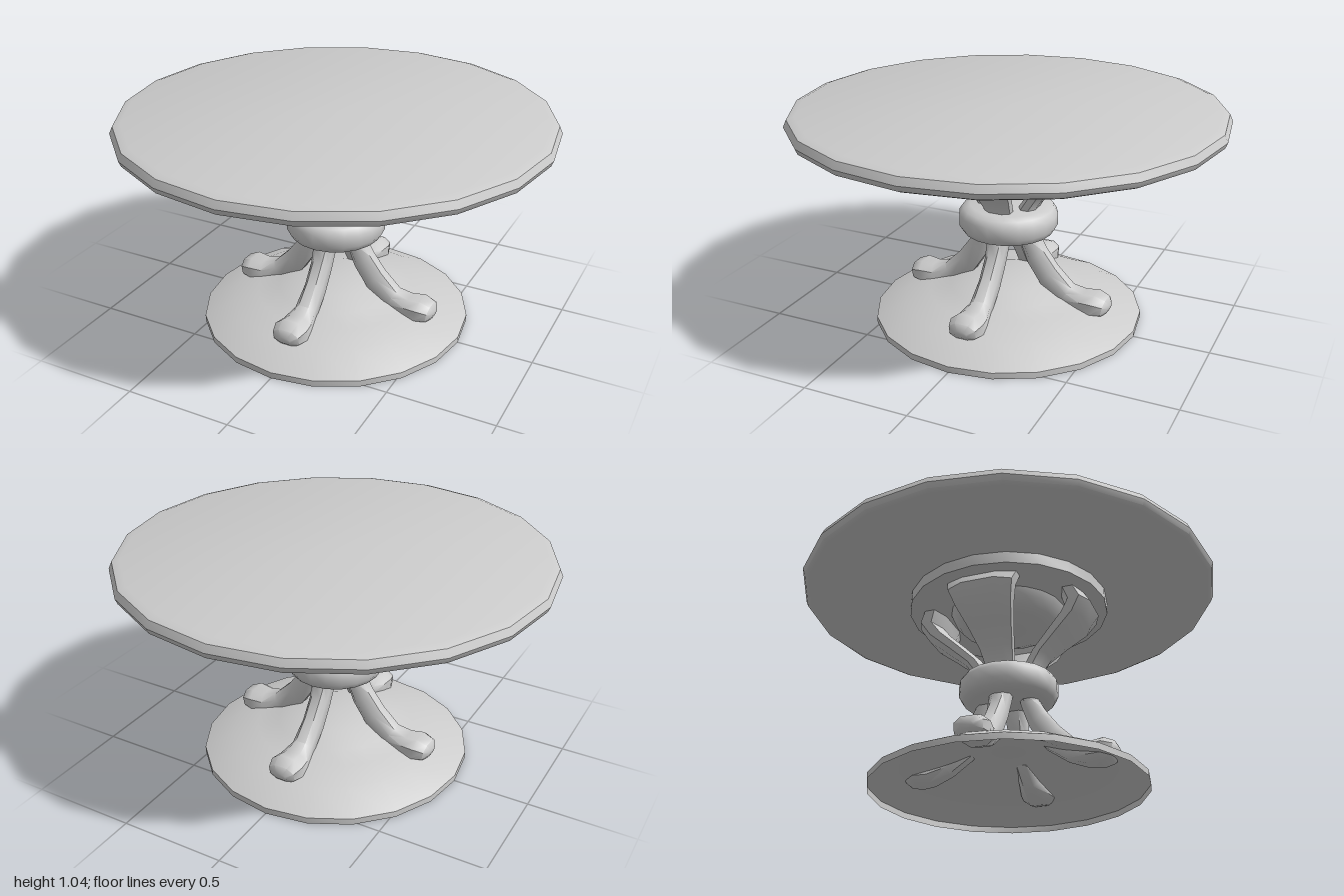
import * as THREE from 'three';
import { toCreasedNormals } from 'three/addons/utils/BufferGeometryUtils.js';

const material = new THREE.MeshStandardMaterial({ color: 0xcccccc });
const openMaterial = new THREE.MeshStandardMaterial({ color: 0xcccccc, side: THREE.DoubleSide });

// Turned part: profile of [radius, height] pairs, listed from bottom to top
function turned(name, profile, mat = material) {
  const points = profile.map(([r, y]) => new THREE.Vector2(r, y));
  const geometry = toCreasedNormals(new THREE.LatheGeometry(points, 20), 0.75);
  const mesh = new THREE.Mesh(geometry, mat);
  mesh.name = name;
  return mesh;
}

// Octagonal section with a flat crest: [across the width, from inner to outer]
const SECTION = [[1, -0.45], [1, 0.45], [0.5, 1], [-0.5, 1], [-1, 0.45], [-1, -0.45], [-0.5, -1], [0.5, -1]];

// Carved leg pointing to +z; rows are [outer z, outer y, inner z, inner y, half width]
function legGeometry(rows) {
  const n = SECTION.length;
  const positions = [], index = [];
  for (const [oz, oy, iz, iy, w] of rows) {
    for (const [u, v] of SECTION) {
      const t = (v + 1) / 2;
      positions.push(u * w, iy + (oy - iy) * t, iz + (oz - iz) * t);
    }
  }
  for (let i = 0; i < rows.length - 1; i++) {
    for (let j = 0; j < n; j++) {
      const a = i * n + j, b = i * n + (j + 1) % n;
      index.push(a, a + n, b + n, a, b + n, b);
    }
  }
  // End caps
  const last = (rows.length - 1) * n;
  for (let j = 1; j < n - 1; j++) {
    index.push(0, j, j + 1, last, last + j + 1, last + j);
  }
  const geometry = new THREE.BufferGeometry();
  geometry.setAttribute('position', new THREE.Float32BufferAttribute(positions, 3));
  geometry.setIndex(index);
  return toCreasedNormals(geometry, 0.85);
}

// Four copies around the pedestal
function fourLegs(name, rows) {
  const group = new THREE.Group();
  group.name = name + 's';
  const geometry = legGeometry(rows);
  for (let i = 0; i < 4; i++) {
    const leg = new THREE.Mesh(geometry, material);
    leg.name = name;
    leg.rotation.y = i * Math.PI / 2;
    group.add(leg);
  }
  return group;
}

export function createModel() {
  const table = new THREE.Group();
  table.name = 'pedestalTable';

  // Round top with a softened edge
  table.add(turned('tableTop', [
    [0, 0.965], [0.97, 0.965], [0.99, 0.975], [1, 1], [0.985, 1.033], [0.95, 1.045], [0, 1.045],
  ]));

  // Plate and shallow bowl under the top
  table.add(turned('apron', [[0, 0.91], [0.48, 0.91], [0.48, 0.967], [0, 0.967]]));
  table.add(turned('bowl', [[0, 0.82], [0.18, 0.82], [0.235, 0.84], [0.265, 0.875], [0.28, 0.912]]));

  // Rounded collar binding the legs together
  table.add(turned('collar', [
    [0, 0.425], [0.18, 0.425], [0.215, 0.44], [0.234, 0.47],
    [0.234, 0.525], [0.215, 0.555], [0.18, 0.567], [0, 0.567],
  ]));

  // Thin hollow base, open underneath
  table.add(turned('base', [
    [0.64, 0], [0.64, 0.03], [0.5, 0.097], [0.38, 0.125], [0.28, 0.152], [0.18, 0.19], [0, 0.19],
  ], openMaterial));

  // Upper legs flare out to the apron
  table.add(fourLegs('upperLeg', [
    [0.13, 0.5, 0.05, 0.5, 0.06],
    [0.15, 0.57, 0.07, 0.575, 0.065],
    [0.2, 0.645, 0.125, 0.66, 0.08],
    [0.29, 0.72, 0.2, 0.735, 0.105],
    [0.385, 0.795, 0.275, 0.805, 0.135],
    [0.43, 0.865, 0.31, 0.85, 0.155],
    [0.395, 0.92, 0.29, 0.92, 0.17],
  ]));

  // Lower legs sweep down into teardrop feet, listed from the toe up
  table.add(fourLegs('lowerLeg', [
    [0.52, 0.14, 0.515, 0.11, 0.03],
    [0.505, 0.17, 0.49, 0.085, 0.065],
    [0.455, 0.19, 0.44, 0.075, 0.08],
    [0.395, 0.182, 0.375, 0.08, 0.07],
    [0.33, 0.2, 0.28, 0.115, 0.05],
    [0.25, 0.28, 0.18, 0.185, 0.045],
    [0.19, 0.36, 0.11, 0.29, 0.045],
    [0.155, 0.42, 0.07, 0.4, 0.05],
    [0.13, 0.5, 0.05, 0.5, 0.06],
  ]));

  return table;
}
